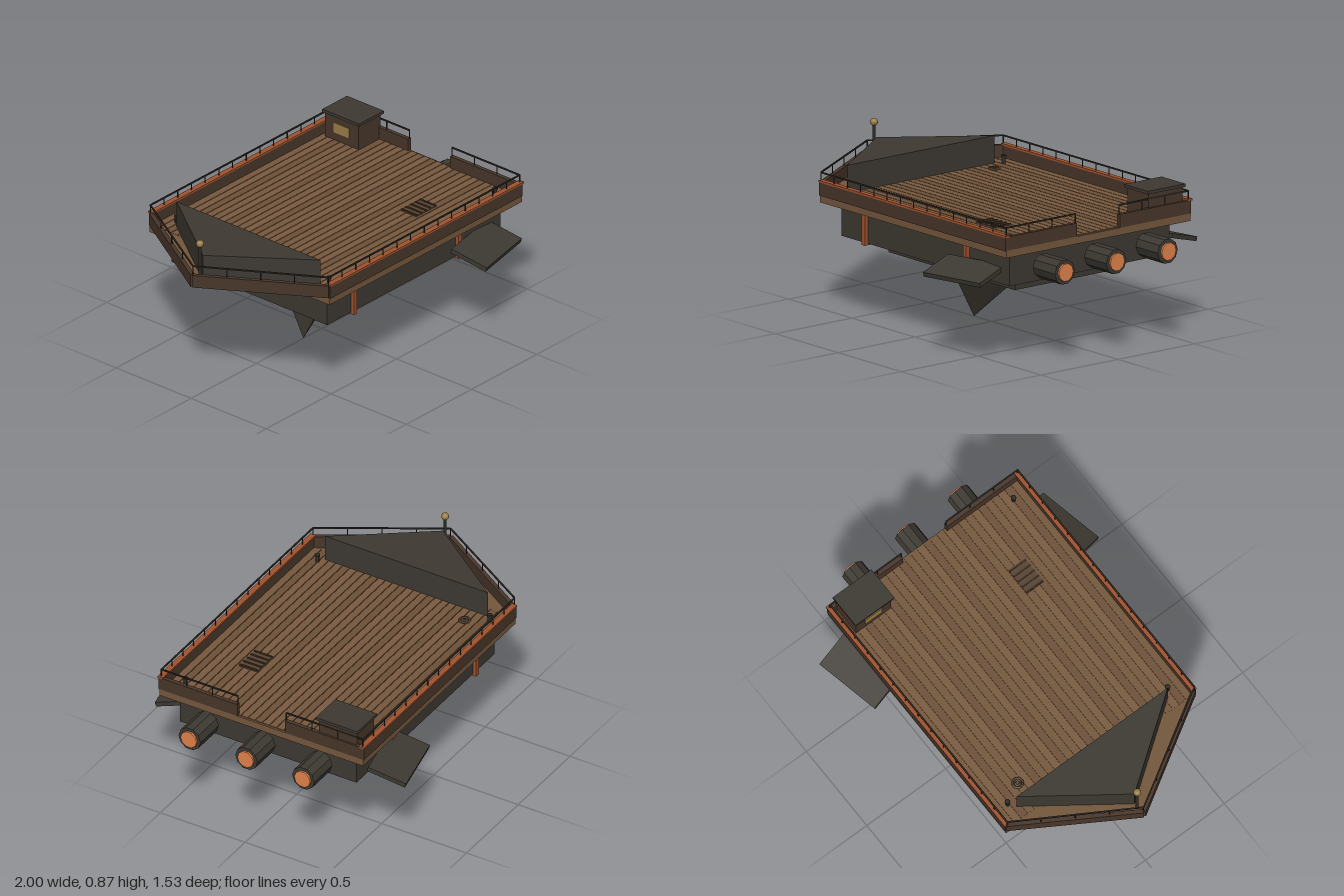
import * as THREE from 'three';

const mat = (color, flat = false) => new THREE.MeshStandardMaterial({ color, flatShading: flat, side: THREE.DoubleSide });
const HULL = mat(0x3d3932, true), TRIM = mat(0x48362a), WOOD = mat(0x75573c), COPPER = mat(0xa0522d);
const GLOW = mat(0xe0824a), GOLD = mat(0x9a7d45), METAL = mat(0x2e2b26), GRATE = mat(0x574330);
const PLANKS = [0x76583d, 0x6e5138, 0x7a5b40].map((c) => mat(c));

export function createModel() {
  const root = new THREE.Group();

  const add = (name, geo, m, x = 0, y = 0, z = 0, parent = root) => {
    const mesh = new THREE.Mesh(geo, m);
    mesh.name = name;
    mesh.position.set(x, y, z);
    parent.add(mesh);
    return mesh;
  };
  // box given by its minimum and maximum on each axis
  const box = (name, m, x0, x1, y0, y1, z0, z1, parent) =>
    add(name, new THREE.BoxGeometry(x1 - x0, y1 - y0, z1 - z0), m, (x0 + x1) / 2, (y0 + y1) / 2, (z0 + z1) / 2, parent);
  // horizontal beam between two plan points [x, z]
  const beam = (name, m, a, b, y0, y1, width, parent) => {
    const dx = b[0] - a[0], dz = b[1] - a[1];
    const mesh = add(name, new THREE.BoxGeometry(Math.hypot(dx, dz), y1 - y0, width), m,
      (a[0] + b[0]) / 2, (y0 + y1) / 2, (a[1] + b[1]) / 2, parent);
    mesh.rotation.y = -Math.atan2(dz, dx);
    return mesh;
  };
  // prism from a plan outline [x, z]
  const prism = (name, m, pts, y0, y1) => {
    const shape = new THREE.Shape(pts.map(([x, z]) => new THREE.Vector2(x, -z)));
    const geo = new THREE.ExtrudeGeometry(shape, { depth: y1 - y0, bevelEnabled: false });
    geo.rotateX(-Math.PI / 2);
    return add(name, geo, m, 0, y0, 0);
  };

  // Hull tiers and copper ribs
  box('upperHull', HULL, -0.555, 0.775, 0.42, 0.595, -0.52, 0.52);
  box('lowerHull', HULL, -0.39, 0.61, 0.34, 0.42, -0.35, 0.35);
  for (const x of [-0.36, 0.442]) box('hullRib', COPPER, x - 0.013, x + 0.013, 0.412, 0.592, -0.54, 0.54);

  // Keel: kite section at the front shrinking to a small diamond behind
  const kite = (x, w, bottom, top) => [[x, 0.28, w], [x, top, 0], [x, 0.28, -w], [x, bottom, 0]];
  const rings = [...kite(-0.14, 0.15, 0, 0.5), ...kite(0.16, 0.03, 0.23, 0.34)];
  const faces = [0, 2, 1, 0, 3, 2, 4, 5, 6, 4, 6, 7];
  for (let i = 0; i < 4; i++) {
    const j = (i + 1) % 4;
    faces.push(i, j, j + 4, i, j + 4, i + 4);
  }
  const keelGeo = new THREE.BufferGeometry();
  keelGeo.setAttribute('position', new THREE.Float32BufferAttribute(rings.flat(), 3));
  keelGeo.setIndex(faces);
  const keelFlat = keelGeo.toNonIndexed();
  keelFlat.computeVertexNormals();
  add('keel', keelFlat, HULL);

  // Deck slab with planks
  box('deckSlab', WOOD, -0.63, 0.845, 0.592, 0.63, -0.6, 0.6);
  const planks = new THREE.Group();
  planks.name = 'deckPlanks';
  root.add(planks);
  const count = 28, step = 1.17 / count;
  for (let i = 0; i < count; i++) {
    const z = -0.585 + i * step;
    box('plank', PLANKS[(i * 5 + (i >> 2)) % 3], -0.625, 0.835, 0.628, 0.635, z + 0.002, z + step - 0.002, planks);
  }

  // Bow floor and dark wedge
  prism('bowFloor', WOOD, [[-0.625, 0.585], [-0.625, -0.585], [-0.985, 0]], 0.628, 0.634);
  prism('bowWedge', HULL, [[-0.56, 0.48], [-0.56, -0.48], [-0.91, 0]], 0.592, 0.778);

  // Railing: thin bar with evenly spaced posts
  const railing = (a, b, n) => {
    const g = new THREE.Group();
    g.name = 'railing';
    root.add(g);
    beam('railBar', METAL, a, b, 0.743, 0.75, 0.007, g);
    for (let i = 0; i <= n; i++) {
      const t = i / n;
      add('railPost', new THREE.CylinderGeometry(0.003, 0.003, 0.05, 6), METAL,
        a[0] + (b[0] - a[0]) * t, 0.722, a[1] + (b[1] - a[1]) * t, g);
    }
  };

  // Bulwarks, caps and railings, mirrored
  for (const s of [1, -1]) {
    box('sideBulwark', TRIM, -0.63, 0.845, 0.628, 0.7, s * 0.594 - 0.011, s * 0.594 + 0.011);
    box('sideCap', COPPER, -0.63, 0.85, 0.698, 0.708, s * 0.594 - 0.015, s * 0.594 + 0.015);
    beam('bowBulwark', TRIM, [-0.625, s * 0.594], [-0.988, 0], 0.632, 0.7, 0.022);
    railing([-0.63, s * 0.594], [0.838, s * 0.594], 14);
    railing([-0.63, s * 0.594], [-0.985, 0], 4);
    box('sternBulwark', TRIM, 0.823, 0.845, 0.628, 0.7, s * 0.365 - 0.225, s * 0.365 + 0.225);
    railing([0.835, s * 0.594], [0.835, s * 0.142], 3);

    // Side wings: drooping outward, all swung the same way
    const wing = add('sideWing', new THREE.BoxGeometry(0.365, 0.024, 0.21), HULL, 0.543, 0.472, s * 0.625);
    wing.rotation.set(s * 0.27, 0.21, 0, 'YXZ');
  }

  // Thrusters
  for (const z of [-0.335, 0, 0.335]) {
    const body = add('thruster', new THREE.CylinderGeometry(0.065, 0.065, 0.175, 10), HULL, 0.9, 0.505, z);
    const nozzle = add('thrusterGlow', new THREE.CylinderGeometry(0.047, 0.047, 0.02, 10), GLOW, 0.988, 0.505, z);
    body.rotation.z = nozzle.rotation.z = -Math.PI / 2;
  }

  // Stern cabin
  box('cabin', TRIM, 0.668, 0.835, 0.63, 0.776, -0.558, -0.335);
  box('cabinRoof', HULL, 0.656, 0.846, 0.774, 0.79, -0.568, -0.322);
  box('cabinWindow', GOLD, 0.663, 0.669, 0.68, 0.735, -0.5, -0.395);

  // Bow mast with ball
  add('mast', new THREE.CylinderGeometry(0.008, 0.008, 0.23, 8), METAL, -0.932, 0.73, 0);
  add('mastBall', new THREE.SphereGeometry(0.02, 14, 10), GOLD, -0.932, 0.853, 0);

  // Deck hatch with slats
  box('hatch', GRATE, 0.312, 0.468, 0.634, 0.639, 0.255, 0.36);
  for (let i = 0; i < 5; i++) {
    const x = 0.32 + i * 0.035;
    box('hatchSlat', TRIM, x - 0.004, x + 0.004, 0.637, 0.644, 0.255, 0.36);
  }

  // Rope coil and bollards
  for (const [r, y] of [[0.026, 0.64], [0.014, 0.643]]) {
    const coil = add('ropeCoil', new THREE.TorusGeometry(r, 0.006, 6, 14), GRATE, -0.465, y, -0.4);
    coil.rotation.x = Math.PI / 2;
  }
  for (const [x, z] of [[-0.525, -0.51], [-0.525, 0.505], [0.75, 0.505]]) {
    add('bollard', new THREE.CylinderGeometry(0.01, 0.01, 0.04, 10), METAL, x, 0.653, z);
    add('bollardCap', new THREE.CylinderGeometry(0.014, 0.014, 0.01, 10), METAL, x, 0.673, z);
  }

  return root;
}
